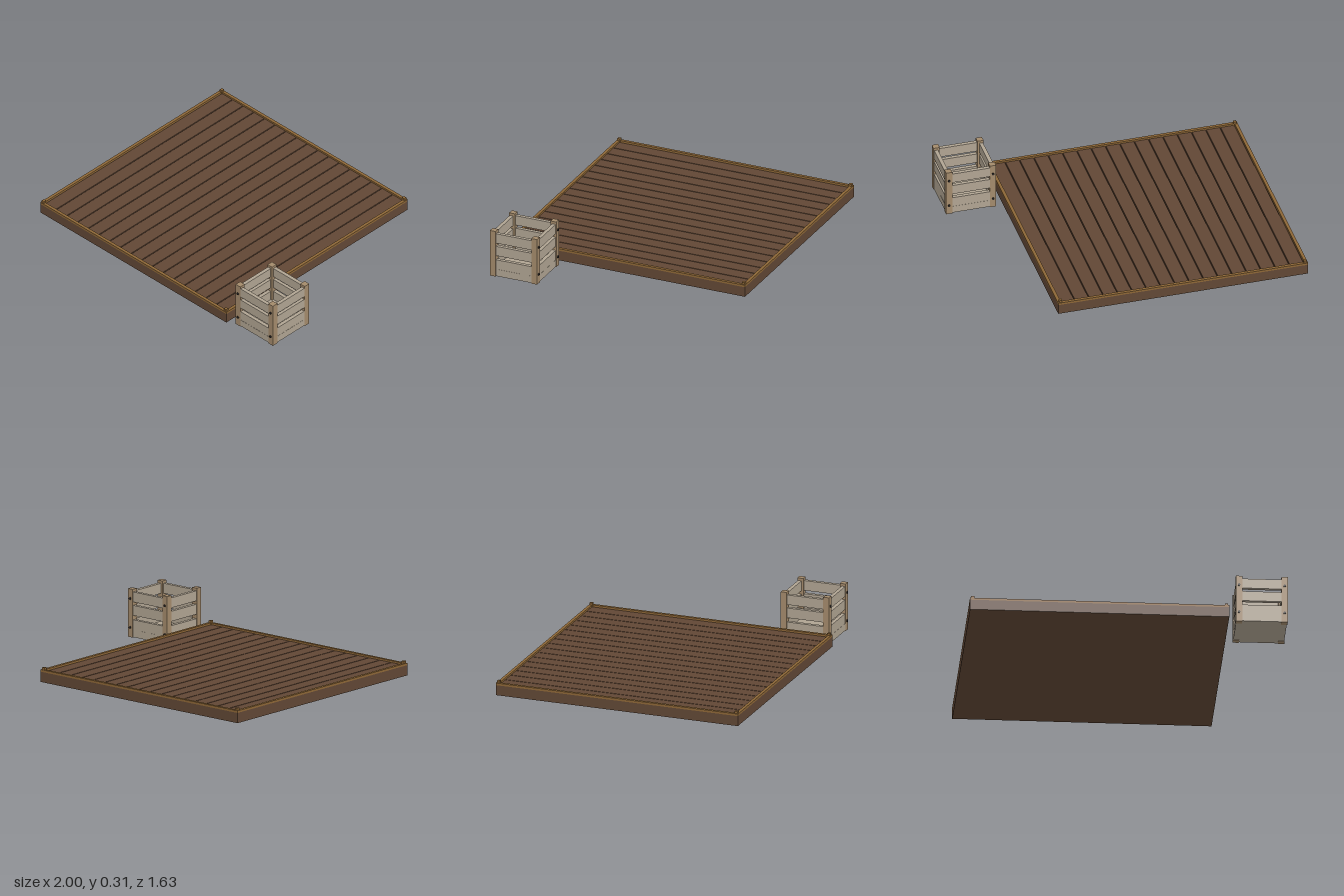
import * as THREE from 'three';

const mat = (name, color) => {
  const m = new THREE.MeshStandardMaterial({ color });
  m.name = name;
  return m;
};

export function createModel() {
  const deckWood = mat('dark brown wood', 0x614735);
  const rimWood = mat('golden wood', 0x8c6636);
  const postWood = mat('tan wood', 0xa38a6b);
  const slatWood = mat('weathered wood', 0xb0a492);
  const iron = mat('dark iron', 0x2a2523);

  const model = new THREE.Group();
  const deck = new THREE.Group();
  deck.name = 'deck';
  const crate = new THREE.Group();
  crate.name = 'crate';
  model.add(deck, crate);

  // Box given by its centre in x and z, and its bottom and top
  const box = (parent, name, material, x, z, y0, y1, w, d) => {
    const mesh = new THREE.Mesh(new THREE.BoxGeometry(w, y1 - y0, d), material);
    mesh.position.set(x, (y0 + y1) / 2, z);
    mesh.name = name;
    parent.add(mesh);
    return mesh;
  };

  // Deck: base, planks running front to back, skirt, rim and corner pegs
  deck.position.x = -0.185;
  const hx = 0.815, hz = 0.815, t = 0.02;
  box(deck, 'deckBase', deckWood, 0, 0, 0.008, 0.055, 2 * (hx - t), 2 * (hz - t));
  const count = 17, pitch = 2 * (hx - t) / count;
  for (let i = 0; i < count; i++) {
    const x = -hx + t + pitch * (i + 0.5);
    box(deck, 'plank', deckWood, x, 0, 0.055, 0.076, pitch - 0.006, 2 * (hz - t));
  }
  for (const s of [-1, 1]) {
    box(deck, 'skirtBoard', deckWood, 0, s * (hz - t / 2), 0.008, 0.074, 2 * hx, t);
    box(deck, 'rimBoard', rimWood, 0, s * (hz - t / 2), 0.074, 0.088, 2 * hx, t);
    box(deck, 'skirtBoard', deckWood, s * (hx - t / 2), 0, 0.008, 0.074, t, 2 * (hz - t));
    box(deck, 'rimBoard', rimWood, s * (hx - t / 2), 0, 0.074, 0.088, t, 2 * (hz - t));
    for (const sz of [-1, 1]) {
      box(deck, 'cornerPeg', rimWood, s * (hx - 0.017), sz * (hz - 0.015), 0.06, 0.102, 0.02, 0.02);
    }
  }

  // Crate: floor, corner posts, three rows of slats and bolts
  crate.position.set(0.837, 0, 0.613);
  const h = 0.163, p = 0.04;
  box(crate, 'crateFloor', slatWood, 0, 0, 0.003, 0.05, 2 * h - 0.006, 2 * h - 0.006);
  const boltShape = new THREE.CylinderGeometry(0.008, 0.008, 0.012, 10).rotateX(Math.PI / 2);
  for (const sx of [-1, 1]) {
    for (const sz of [-1, 1]) {
      box(crate, 'cratePost', postWood, sx * (h - p / 2), sz * (h - p / 2), 0, 0.312, p, p);
      for (const y of [0.063, 0.25]) {
        const bolt = new THREE.Mesh(boltShape, iron);
        bolt.name = 'bolt';
        bolt.position.set(sx * (h - p / 2), y, sz * h);
        crate.add(bolt);
      }
    }
    for (const y of [0.05, 0.143, 0.23]) {
      const at = sx * (h - 0.016), len = 2 * (h - p);
      box(crate, 'slat', slatWood, 0, at, y, y + 0.065, len, 0.024);
      box(crate, 'slat', slatWood, at, 0, y, y + 0.065, 0.024, len);
    }
  }
  return model;
}
